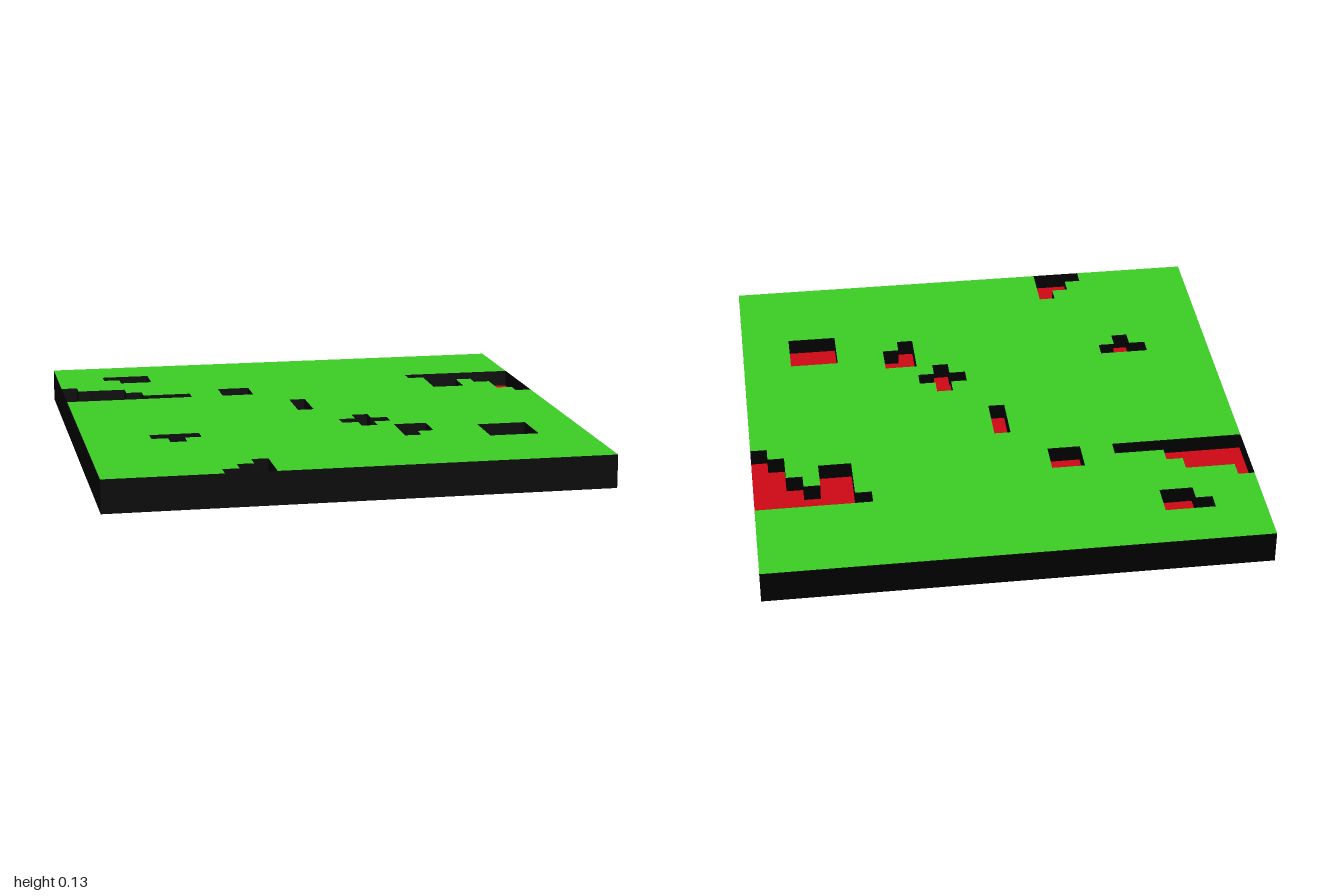
import * as THREE from 'three';
import { mergeGeometries } from 'three/addons/utils/BufferGeometryUtils.js';

const N = 30;            // cells per side
const C = 2 / N;         // cell size
const TOP = 2 * C;       // slab height
const FLOOR = C;         // pit floor height

// Pits as rectangles of cells: [column start, column end, row start, row end]
const PITS = [
  [3, 6, 3, 4], [4, 6, 4, 5],
  [0, 1, 6, 7], [0, 4, 7, 8], [0, 5, 8, 9], [0, 8, 9, 10],
  [10, 12, 8, 10],
  [23, 30, 6, 7], [24, 30, 7, 8], [24, 26, 8, 10], [27, 30, 8, 9], [28, 30, 9, 11], [29, 30, 11, 12],
  [14, 15, 12, 15],
  [17, 18, 17, 20], [16, 19, 18, 19],
  [19, 21, 20, 22], [19, 20, 22, 23],
  [24, 27, 21, 24],
  [4, 7, 20, 21], [5, 6, 21, 22],
  [9, 10, 27, 28], [8, 10, 28, 29], [7, 10, 29, 30],
];
const isPit = (i, j) => PITS.some(([a, b, c, d]) => i >= a && i < b && j >= c && j < d);
const pos = (k) => k * C - 1;

// Horizontal strip covering columns a..b of row j
function strip(a, b, j, y) {
  return new THREE.PlaneGeometry((b - a) * C, C).rotateX(-Math.PI / 2)
    .translate((pos(a) + pos(b)) / 2, y, pos(j + 0.5));
}

// Upright panel facing the direction given by angle
function panel(width, y0, y1, angle, x, z) {
  return new THREE.PlaneGeometry(width, y1 - y0).rotateY(angle).translate(x, (y0 + y1) / 2, z);
}

export function createModel() {
  const group = new THREE.Group();
  const add = (name, geometries, color, side = THREE.FrontSide) => {
    const mesh = new THREE.Mesh(mergeGeometries(geometries), new THREE.MeshStandardMaterial({ color, side }));
    mesh.name = name;
    group.add(mesh);
  };

  // Top surface and pit floors, in runs of equal cells along each row
  const grass = [], floors = [];
  for (let j = 0; j < N; j++) {
    let start = 0;
    for (let i = 1; i <= N; i++) {
      const pit = isPit(start, j);
      if (i < N && isPit(i, j) === pit) continue;
      (pit ? floors : grass).push(strip(start, i, j, pit ? FLOOR : TOP));
      start = i;
    }
  }

  // Pit walls, facing into each pit
  const walls = [];
  const inside = (k) => k >= 0 && k < N;
  for (let j = 0; j < N; j++) for (let i = 0; i < N; i++) {
    if (!isPit(i, j)) continue;
    for (const [dx, dz] of [[1, 0], [-1, 0], [0, 1], [0, -1]]) {
      if (!inside(i + dx) || !inside(j + dz) || isPit(i + dx, j + dz)) continue;
      walls.push(panel(C, FLOOR, TOP, Math.atan2(-dx, -dz), pos(i + 0.5 + dx / 2), pos(j + 0.5 + dz / 2)));
    }
  }

  // Thin outer sides, which also close the pits at the edge
  const sides = [0, 1, 2, 3].map((k) => {
    const a = k * Math.PI / 2;
    return panel(2, 0, TOP, a, Math.sin(a), Math.cos(a));
  });

  add('topSurface', grass, 0x3bcb24);
  add('pitFloors', floors, 0xcc0815);
  add('pitWalls', walls, 0x000000);
  add('outerSides', sides, 0x000000, THREE.DoubleSide);
  add('underside', [new THREE.PlaneGeometry(2, 2).rotateX(Math.PI / 2)], 0x000000);
  return group;
}
